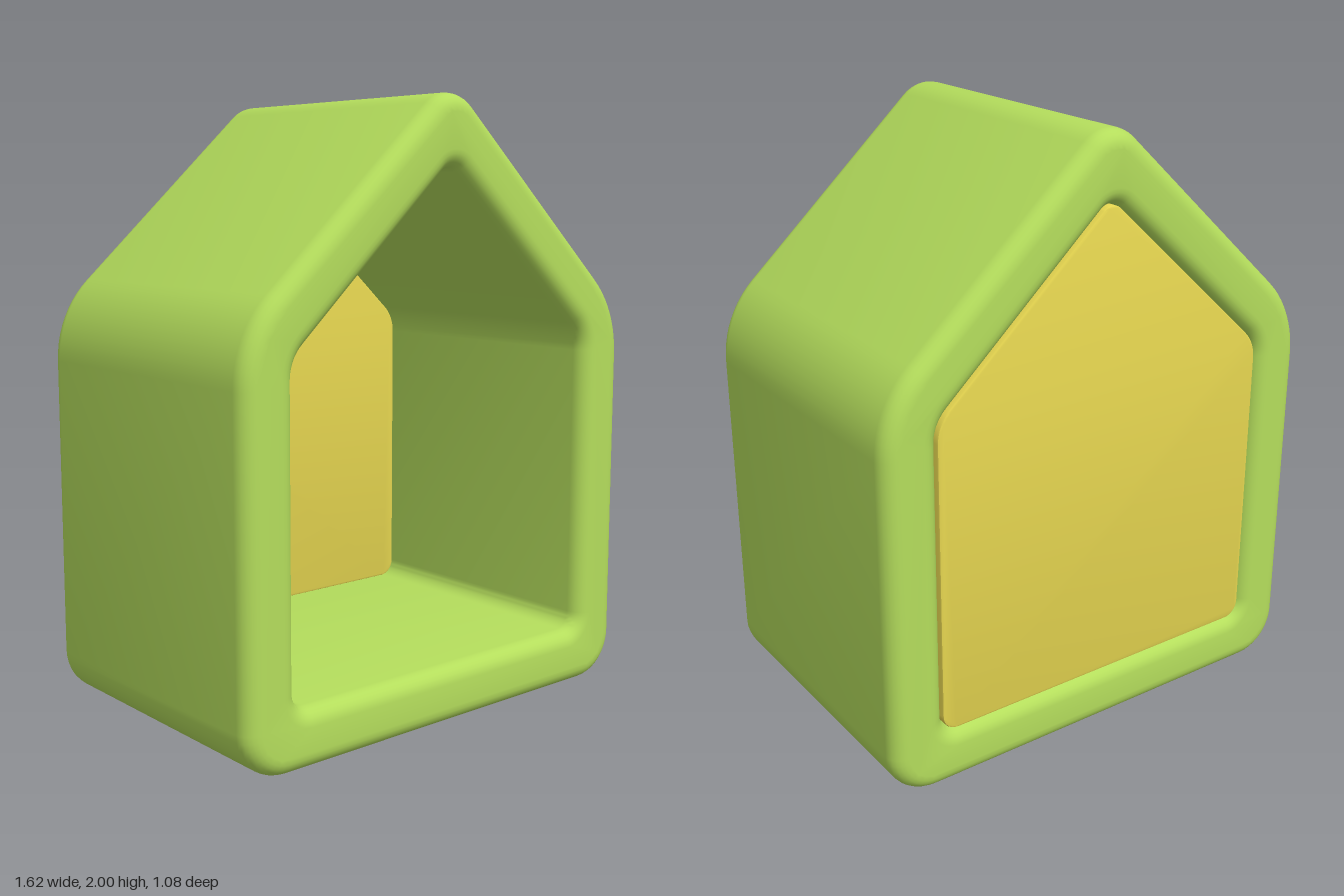
import * as THREE from 'three';
import { toCreasedNormals } from 'three/addons/utils/BufferGeometryUtils.js';

const green = new THREE.MeshStandardMaterial({ name: 'leaf green', color: 0xb4dd5c });
const yellow = new THREE.MeshStandardMaterial({ name: 'bright yellow', color: 0xe6d650 });

// Closed outline through corners [x, y, radius], each rounded by an arc
function roundedOutline(corners, steps = 10) {
  const pts = [];
  corners.forEach(([x, y, r], i) => {
    const p = new THREE.Vector2(x, y);
    const toward = (j) => {
      const c = corners[(j + corners.length) % corners.length];
      return new THREE.Vector2(c[0], c[1]).sub(p).normalize();
    };
    const a = toward(i - 1), b = toward(i + 1);
    const half = Math.acos(a.dot(b)) / 2;
    const center = a.clone().add(b).normalize().multiplyScalar(r / Math.sin(half)).add(p);
    const start = a.clone().multiplyScalar(r / Math.tan(half)).add(p).sub(center);
    const turn = Math.PI - 2 * half;
    for (let k = 0; k <= steps; k++) {
      pts.push(start.clone().rotateAround(new THREE.Vector2(), (turn * k) / steps).add(center));
    }
  });
  return pts;
}

// Pentagon house outline, counter-clockwise
function house(w, floor, eave, apex, rFloor, rEave, rApex) {
  return roundedOutline([
    [-w, floor, rFloor], [w, floor, rFloor], [w, eave, rEave], [0, apex, rApex], [-w, eave, rEave],
  ]);
}

// Extrudes a shape between two z planes, rounding the rims inwards
function roundedExtrude(shape, zBack, zFront, bevel, bevelSegments) {
  const geometry = new THREE.ExtrudeGeometry(shape, {
    depth: zFront - zBack - 2 * bevel, bevelEnabled: true, bevelThickness: bevel,
    bevelSize: bevel, bevelOffset: -bevel, bevelSegments,
  });
  geometry.translate(0, 0, zBack + bevel);
  return toCreasedNormals(geometry, 0.7);
}

export function createModel() {
  const group = new THREE.Group();
  group.name = 'houseShelf';

  const inner = house(0.622, 0.19, 1.225, 1.792, 0.055, 0.13, 0.05);

  // Hollow house-shaped shell with rounded rims
  const shape = new THREE.Shape(house(0.81, 0, 1.308, 2.046, 0.155, 0.36, 0.13));
  shape.holes.push(new THREE.Path(inner));
  const shell = new THREE.Mesh(roundedExtrude(shape, -0.54, 0.54, 0.055, 6), green);
  shell.name = 'shell';
  group.add(shell);

  // Back panel closing the rear opening
  const panel = new THREE.Mesh(roundedExtrude(new THREE.Shape(inner), -0.525, -0.43, 0.006, 2), yellow);
  panel.name = 'backPanel';
  group.add(panel);

  return group;
}
